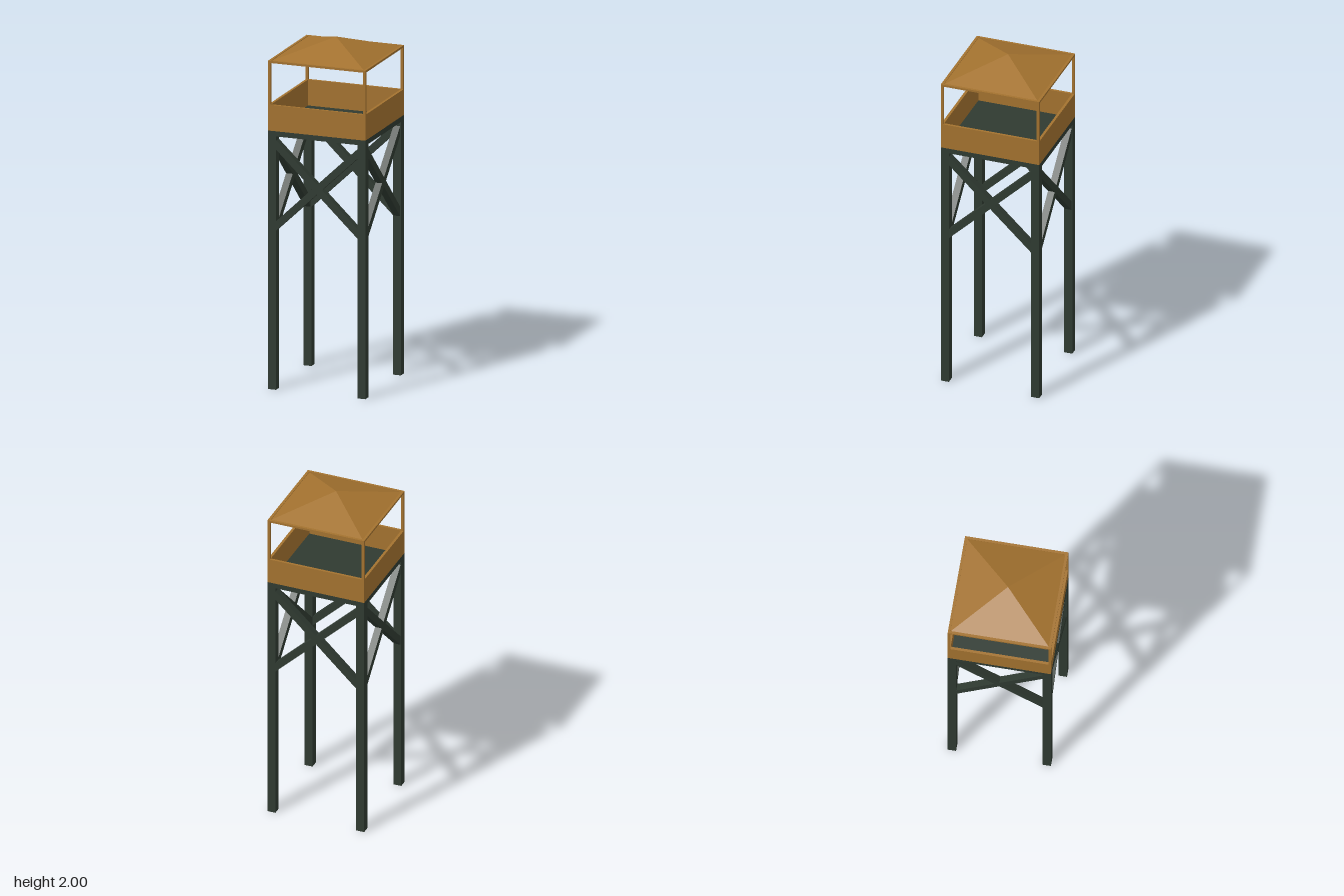
import * as THREE from 'three';

export function createModel() {
  const tower = new THREE.Group();
  tower.name = 'watchtower';
  const timber = new THREE.MeshStandardMaterial({ color: 0x2f3a31 });
  timber.name = 'dark timber';
  const wood = new THREE.MeshStandardMaterial({ color: 0xa3722f });
  wood.name = 'warm wood';

  const HALF = 0.293, LEG = 0.048, THIN = 0.015;

  // Box given by its size, with its centre at (x, z) and its bottom at y
  function box(parent, name, material, [w, h, d], [x, y, z]) {
    const mesh = new THREE.Mesh(new THREE.BoxGeometry(w, h, d), material);
    mesh.name = name;
    mesh.position.set(x, y + h / 2, z);
    parent.add(mesh);
    return mesh;
  }

  // Platform
  box(tower, 'platform', timber, [HALF * 2, 0.03, HALF * 2], [0, 1.47, 0]);

  // Four identical sides, each with a leg, a cross brace, a wall, a post and an eave beam
  const legAt = HALF - LEG / 2;
  const thinAt = HALF - THIN / 2;
  const span = (HALF - THIN) * 2;
  for (let i = 0; i < 4; i++) {
    const side = new THREE.Group();
    side.name = 'side' + (i + 1);
    side.rotation.y = i * Math.PI / 2;
    tower.add(side);

    box(side, 'leg', timber, [LEG, 1.47, LEG], [legAt, 0, legAt]);
    for (const s of [-1, 1]) {
      const brace = box(side, 'brace', timber, [0.744, 0.04, 0.04], [0, 1.165, legAt]);
      brace.rotation.z = s * 0.762;
    }
    box(side, 'wall', wood, [span, 0.15, THIN], [0, 1.5, thinAt]);
    box(side, 'cornerPost', wood, [THIN, 0.405, THIN], [thinAt, 1.5, thinAt]);
    box(side, 'eaveBeam', wood, [span, 0.012, THIN], [0, 1.893, thinAt]);
  }

  // Pyramid roof
  const roofGeometry = new THREE.ConeGeometry((HALF - THIN) * Math.SQRT2, 0.098, 4, 1).toNonIndexed();
  roofGeometry.rotateY(Math.PI / 4);
  roofGeometry.computeVertexNormals();
  const roof = new THREE.Mesh(roofGeometry, wood);
  roof.name = 'roof';
  roof.position.y = 1.902 + 0.049;
  tower.add(roof);

  return tower;
}
